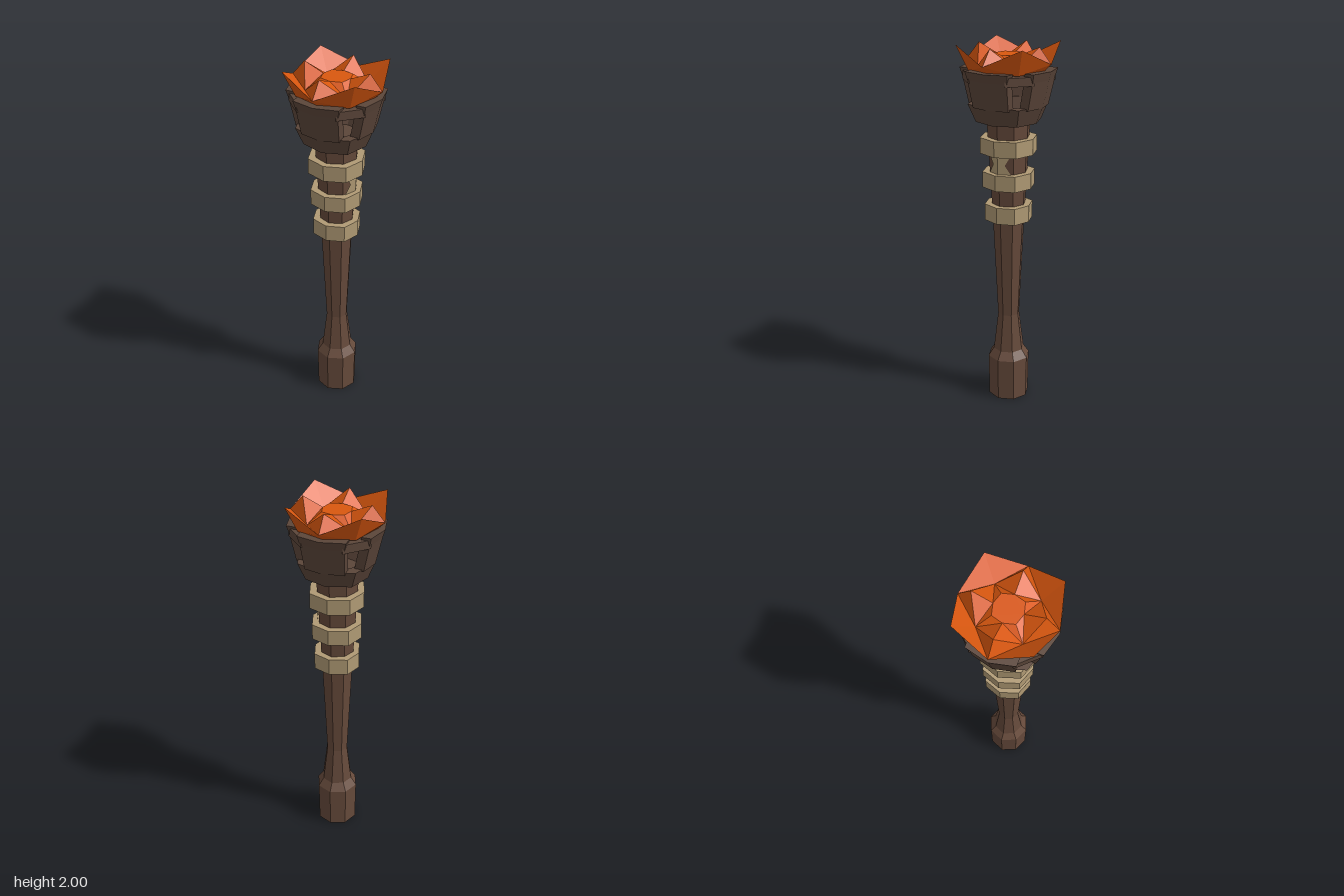
import * as THREE from 'three';

const wood = new THREE.MeshStandardMaterial({ color: 0x664a3b });
const bowlWood = new THREE.MeshStandardMaterial({ color: 0x5c463a });
const cloth = new THREE.MeshStandardMaterial({ color: 0xb09a74, side: THREE.DoubleSide });
const ember = new THREE.MeshStandardMaterial({ color: 0xd9570f });
wood.name = 'wood';
bowlWood.name = 'bowlWood';
cloth.name = 'cloth';
ember.name = 'ember';

// Faceted skin through rings of points that run counter-clockwise seen from above
function loft(rings, closed = true) {
  const pos = [];
  const tri = (...pts) => pts.forEach(p => pos.push(...p));
  const n = rings[0].length;
  for (let k = 0; k < rings.length - 1; k++) {
    const lo = rings[k], hi = rings[k + 1];
    for (let i = 0; i < (closed ? n : n - 1); i++) {
      const j = (i + 1) % n;
      if ((i + k) % 2) { tri(lo[i], lo[j], hi[j]); tri(lo[i], hi[j], hi[i]); }
      else { tri(lo[i], lo[j], hi[i]); tri(lo[j], hi[j], hi[i]); }
    }
  }
  if (closed) {
    const a = rings[0], b = rings[rings.length - 1];
    for (let i = 1; i < n - 1; i++) { tri(a[0], a[i + 1], a[i]); tri(b[0], b[i], b[i + 1]); }
  }
  const g = new THREE.BufferGeometry();
  g.setAttribute('position', new THREE.Float32BufferAttribute(pos, 3));
  g.computeVertexNormals();
  return g;
}

// Eight points: even ones on the axes, odd ones on the diagonals
function octagon(y, r, diagR = r, diagY = y) {
  return Array.from({ length: 8 }, (_, i) => {
    const a = i * Math.PI / 4, odd = i % 2, q = odd ? diagR : r;
    return [q * Math.sin(a), odd ? diagY : y, q * Math.cos(a)];
  });
}

export function createModel() {
  const model = new THREE.Group();
  const add = (name, geo, mat, parent = model) => {
    const m = new THREE.Mesh(geo, mat);
    m.name = name;
    parent.add(m);
    return m;
  };

  // Handle with a thick pommel and a narrow grip
  const profile = [[0, 0.113], [0.24, 0.117], [0.285, 0.086], [0.5, 0.06], [1.05, 0.086], [1.62, 0.118]];
  add('handle', loft(profile.map(([y, r]) => octagon(y, r))), wood);

  // Cloth wrappings
  [[1.06, 1.15, 0.125], [1.245, 1.33, 0.136], [1.43, 1.515, 0.147]].forEach(([y0, y1, r]) =>
    add('clothRing', loft([octagon(y0, r, r * 1.05), octagon(y1, r, r * 1.05)]), cloth));

  // Loose cloth bridging the two upper rings on the left side
  const bend = Math.tan(Math.PI / 8);
  const strip = (y, r, w) => [[r - w * bend, y, w], [r, y, 0], [r - w * bend, y, -w]];
  add('clothStrip', loft([strip(1.32, 0.109, 0.07), strip(1.38, 0.112, 0.035), strip(1.44, 0.115, 0.07)], false), cloth);

  // Fire bowl: hollow cup, four bent slats and the rails between them
  const bowl = new THREE.Group();
  bowl.name = 'fireBowl';
  model.add(bowl);
  const cup = [[1.6, 0.165], [1.695, 0.204], [1.695, 0.15], [1.63, 0.12]];
  add('cup', loft(cup.map(([y, r]) => octagon(y, r, r * 1.06))), bowlWood, bowl);

  const section = (y, r, w, t = 0.05) => {
    const e = r - 0.24 * w;
    return [[0, y, r], [w, y, e], [w, y, e - t], [0, y, r - t], [-w, y, e - t], [-w, y, e]];
  };
  const slat = loft([section(1.685, 0.202, 0.105), section(1.83, 0.236, 0.115), section(1.875, 0.249, 0.125)]);
  const rail = new THREE.BoxGeometry(0.15, 0.045, 0.045);
  rail.translate(0, 1.838, 0.205);
  for (let i = 0; i < 4; i++) {
    add('slat', slat, bowlWood, bowl).rotation.y = i * Math.PI / 2;
    add('rail', rail, bowlWood, bowl).rotation.y = (i + 0.5) * Math.PI / 2;
  }

  // Jagged flame: spiked rim, pits on the diagonals and a flat heart
  add('flame', loft([
    octagon(1.865, 0.2, 0.21),
    octagon(1.91, 0.248, 0.275, 2.0),
    octagon(1.99, 0.18, 0.162, 1.89),
    octagon(1.945, 0.075, 0.083),
  ]), ember);

  return model;
}
